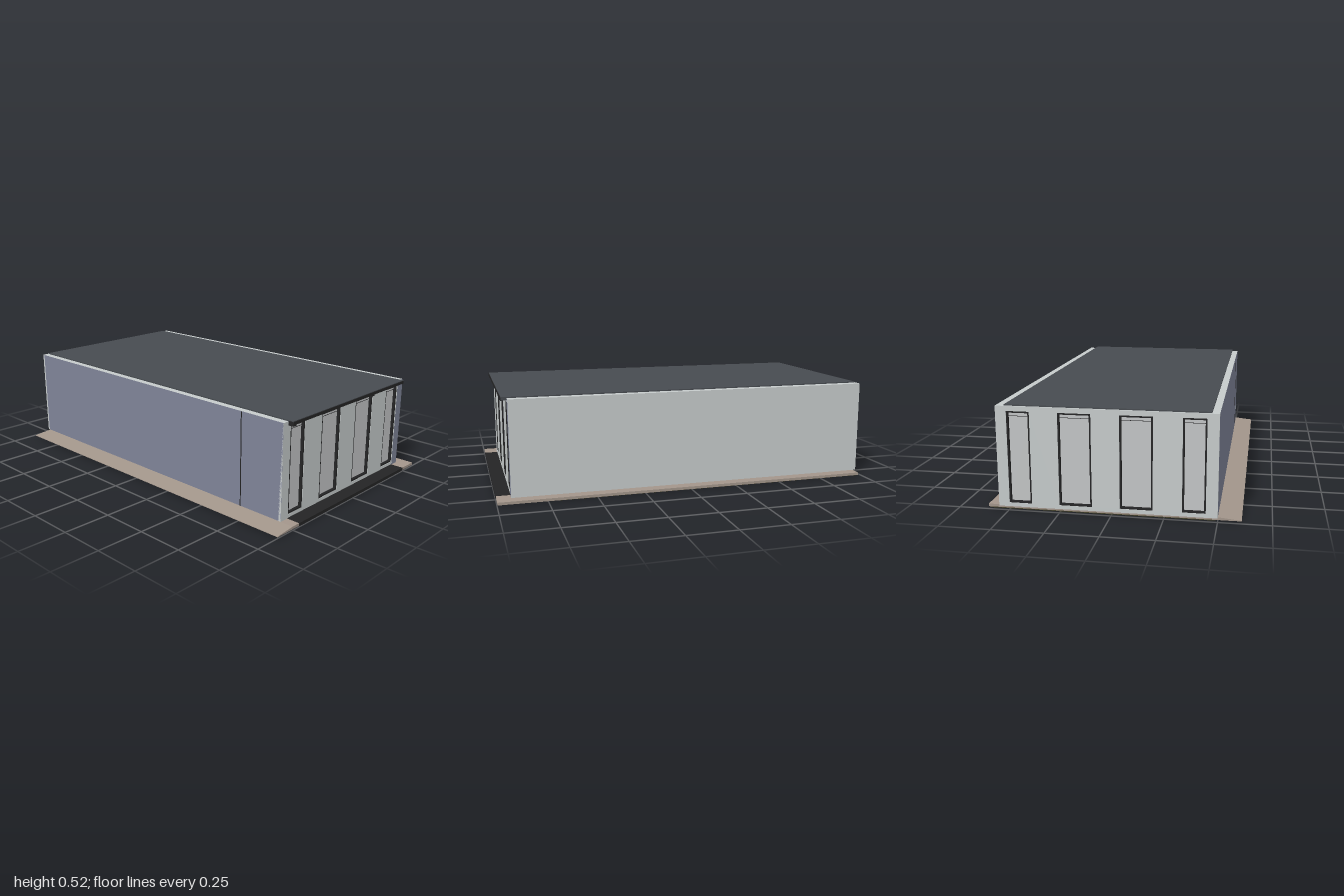
import * as THREE from 'three';

const mat = (name, color) => new THREE.MeshStandardMaterial({ name, color });

export function createModel() {
  const wall = mat('pale grey wall', 0xc6cbcb);
  const blue = mat('slate blue cladding', 0x7f8498);
  const dark = mat('dark roof', 0x474b50);
  const black = mat('black frame', 0x242425);
  const paving = mat('tan paving', 0xa3968b);
  const under = mat('olive underside', 0x45422a);
  const panelMat = mat('door panel', 0xc3c5c6);

  const model = new THREE.Group();
  model.name = 'building';

  // Box given by its extents; material may be an array in +x -x +y -y +z -z order
  function box(name, x0, x1, y0, y1, z0, z1, material, parent = model) {
    const mesh = new THREE.Mesh(new THREE.BoxGeometry(x1 - x0, y1 - y0, z1 - z0), material);
    mesh.position.set((x0 + x1) / 2, (y0 + y1) / 2, (z0 + z1) / 2);
    mesh.name = name;
    parent.add(mesh);
    return mesh;
  }

  // Paving: flat slab whose strip on the right slopes down to the ground
  const tan = [paving, paving, paving, under, paving, paving];
  box('pavingSlab', -0.5, 0.61, 0.004, 0.018, -0.98, 0.998, tan);
  const ramp = box('pavingRamp', -0.61, -0.5, 0.004, 0.018, -0.98, 0.998, tan);
  const p = ramp.geometry.attributes.position;
  for (let i = 0; i < p.count; i++) {
    if (p.getX(i) < 0 && p.getY(i) > 0) p.setY(i, -0.004);
  }
  ramp.geometry.computeVertexNormals();
  box('foundation', -0.49, 0.6, 0, 0.004, -0.98, 0.7, under);
  box('frontStep', -0.45, 0.497, 0.003, 0.0195, 0.92, 1.0, black);

  // Side walls
  box('leftWall', 0.5, 0.55, 0.018, 0.512, -0.985, 0.927, [wall, wall, wall, wall, blue, wall]);
  box('rightWall', -0.5, -0.46, 0.018, 0.512, -0.985, 0.927, [wall, blue, wall, wall, wall, wall]);
  box('claddingSeam', -0.5015, -0.5, 0.018, 0.51, 0.668, 0.673, black);

  // End walls pierced by recessed doors
  const doors = [[-0.445, -0.335], [-0.198, -0.042], [0.092, 0.25], [0.385, 0.497]];
  const yLow = 0.037, yHigh = 0.488, edge = 0.008, depth = 0.02;

  const rect = (Type, x0, x1, y0, y1) => {
    const path = new Type();
    path.moveTo(x0, y0);
    path.lineTo(x1, y0);
    path.lineTo(x1, y1);
    path.lineTo(x0, y1);
    path.closePath();
    return path;
  };

  function endWall(name, xMax, zOuter, outward) {
    const group = new THREE.Group();
    group.name = name;
    const shape = rect(THREE.Shape, -0.5, xMax, 0.018, 0.512);
    doors.forEach(([a, b]) => shape.holes.push(rect(THREE.Path, a, b, yLow, yHigh)));
    const z0 = outward > 0 ? zOuter - depth : zOuter;
    const face = new THREE.Mesh(
      new THREE.ExtrudeGeometry(shape, { depth, bevelEnabled: false }), wall);
    face.position.z = z0;
    face.name = name + 'Face';
    group.add(face);

    const inner = zOuter - outward * depth;
    const span = (a, b) => [Math.min(a, b), Math.max(a, b)];
    doors.forEach(([a, b]) => {
      // Black lining of the opening
      const ring = rect(THREE.Shape, a, b, yLow, yHigh);
      ring.holes.push(rect(THREE.Path, a + edge, b - edge, yLow + edge, yHigh - edge));
      const frame = new THREE.Mesh(
        new THREE.ExtrudeGeometry(ring, { depth: depth - 0.002, bevelEnabled: false }), black);
      frame.position.z = outward > 0 ? z0 : z0 + 0.002;
      frame.name = 'doorFrame';
      group.add(frame);
      // Door leaf with a fine line near its head
      box('doorPanel', a, b, yLow, yHigh, ...span(inner, inner + outward * 0.003), panelMat, group);
      box('doorHeadLine', a + edge, b - edge, 0.461, 0.463,
        ...span(inner, inner + outward * 0.005), black, group);
    });
    model.add(group);
  }
  endWall('frontWall', 0.5, 0.926, 1);
  endWall('backWall', 0.55, -0.997, -1);

  // Closed core behind the doors
  box('core', -0.47, 0.51, 0.018, 0.505, -0.977, 0.906, wall);

  // Roof with front overhang, fascia and small brackets
  box('roof', -0.465, 0.508, 0.502, 0.518, -0.988, 0.955, dark);
  box('fascia', -0.465, 0.506, 0.5, 0.515, 0.93, 0.957, black);
  [[-0.465, -0.442], [0.196, 0.218]].forEach(([a, b]) =>
    box('eaveBracket', a, b, 0.492, 0.502, 0.926, 0.955, black));

  return model;
}
